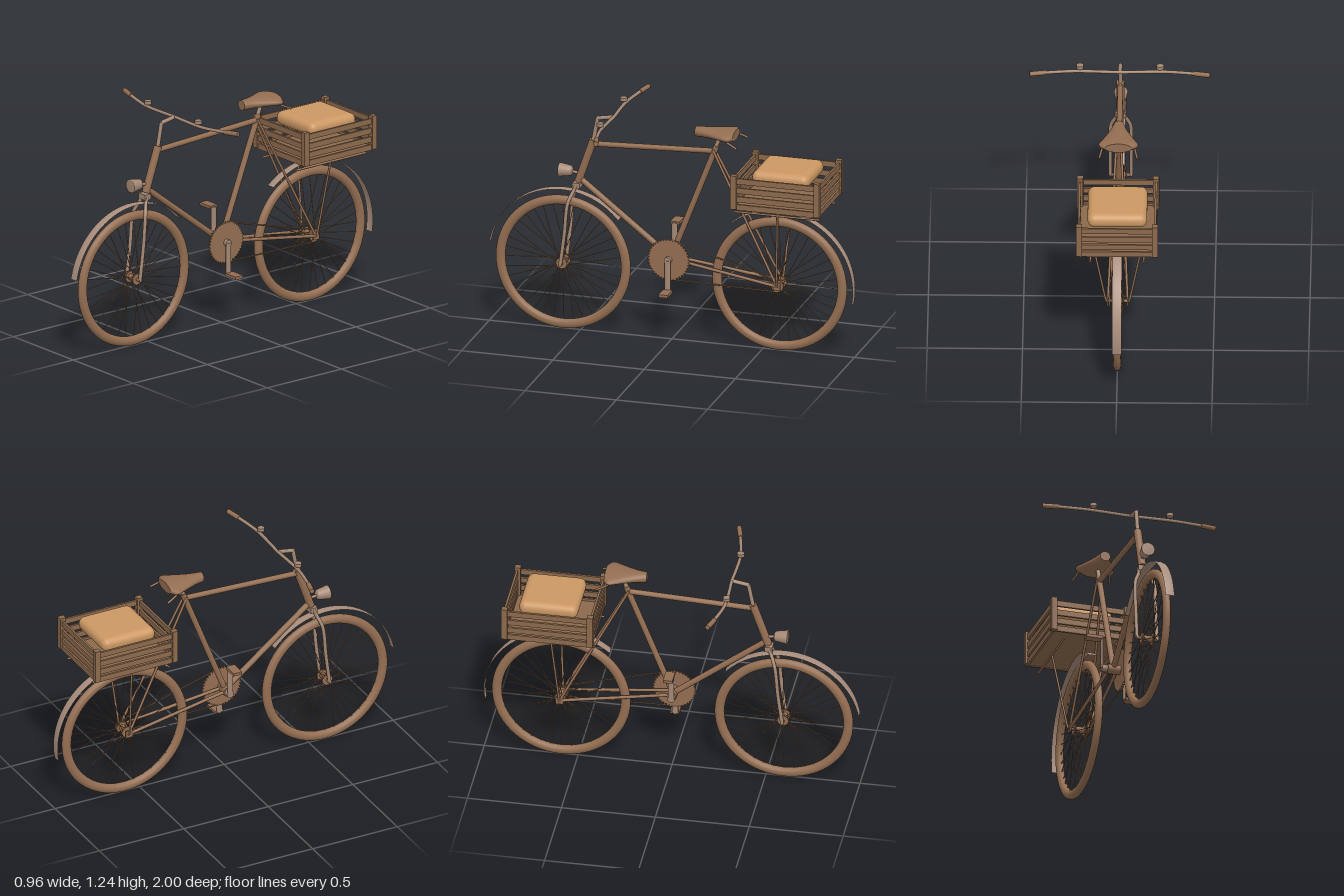
import * as THREE from 'three';
import { RoundedBoxGeometry } from 'three/addons/geometries/RoundedBoxGeometry.js';

const mat = (name, color, side = THREE.FrontSide) => {
  const m = new THREE.MeshStandardMaterial({ color, side });
  m.name = name;
  return m;
};
const V = (x, y, z) => new THREE.Vector3(x, y, z);

export function createModel() {
  const root = new THREE.Group();
  root.name = 'bicycle';
  const brown = mat('brown', 0x946e52);
  const metal = mat('pale metal', 0xa58874);
  const sheet = mat('pale sheet metal', 0xaa8e7d, THREE.DoubleSide);
  const wood = mat('crate wood', 0x8c6a4d);
  const tan = mat('tan cushion', 0xcc9864);

  const add = (name, geo, m, parent = root) => {
    const mesh = new THREE.Mesh(geo, m);
    mesh.name = name;
    parent.add(mesh);
    return mesh;
  };
  // straight round bar between two points
  const rod = (name, a, b, r, m, parent = root, sides = 12) => {
    const d = b.clone().sub(a);
    const mesh = add(name, new THREE.CylinderGeometry(r, r, d.length(), sides), m, parent);
    mesh.position.copy(a).addScaledVector(d, 0.5);
    mesh.quaternion.setFromUnitVectors(V(0, 1, 0), d.normalize());
    return mesh;
  };
  const tube = (name, pts, r, m) =>
    add(name, new THREE.TubeGeometry(new THREE.CatmullRomCurve3(pts, false, 'centripetal'), 32, r, 10), m);
  const box = (name, w, h, d, x, y, z, m, parent = root) => {
    const mesh = add(name, new THREE.BoxGeometry(w, h, d), m, parent);
    mesh.position.set(x, y, z);
    return mesh;
  };

  // Wheels with hub, spokes and mudguard
  const AXLE = 0.37, FRONT = 0.595, REAR = -0.59;
  const wheel = (name, z, from, to) => {
    const g = new THREE.Group();
    g.name = name;
    g.position.set(0, AXLE, z);
    root.add(g);
    add('tyre', new THREE.TorusGeometry(0.343, 0.026, 14, 72).rotateY(Math.PI / 2).scale(0.8, 1, 1), brown, g);
    rod('axle', V(-0.062, 0, 0), V(0.062, 0, 0), 0.009, brown, g);
    rod('hub', V(-0.03, 0, 0), V(0.03, 0, 0), 0.017, brown, g);
    for (const s of [-1, 1]) rod('hubFlange', V(s * 0.026, 0, 0), V(s * 0.032, 0, 0), 0.03, brown, g, 20);
    const n = 36;
    for (let i = 0; i < n; i++) {
      const a = (i / n) * Math.PI * 2, lean = a + (i % 4 < 2 ? 0.5 : -0.5);
      rod('spoke', V((i % 2 ? 1 : -1) * 0.028, Math.sin(lean) * 0.026, Math.cos(lean) * 0.026),
        V(0, Math.sin(a) * 0.32, Math.cos(a) * 0.32), 0.0022, brown, g, 5);
    }
    const profile = [[0.407, -0.025], [0.41, -0.012], [0.41, 0.012], [0.407, 0.025]]
      .map(([r, y]) => new THREE.Vector2(r, y));
    const rad = Math.PI / 180;
    add('mudguard', new THREE.LatheGeometry(profile, 40, -to * rad, (to - from) * rad).rotateZ(-Math.PI / 2), sheet, g);
  };
  wheel('frontWheel', FRONT, 10, 139);
  wheel('rearWheel', REAR, 50, 190);

  // Frame tubes
  const bracket = V(0, 0.455, 0.005), seatTop = V(0, 1.07, -0.235);
  rod('headTube', V(0, 0.825, 0.512), V(0, 1.065, 0.43), 0.021, brown, root, 16);
  rod('topTube', V(0, 1.042, 0.435), seatTop, 0.015, brown);
  rod('downTube', V(0, 0.845, 0.505), bracket, 0.016, brown);
  rod('seatTube', bracket, V(0, 1.1, -0.245), 0.016, brown);
  rod('seatPost', V(0, 1.08, -0.235), V(0, 1.155, -0.265), 0.011, metal);
  rod('bottomBracket', V(-0.035, 0.455, 0.005), V(0.035, 0.455, 0.005), 0.026, brown, root, 18);
  for (const s of [-1, 1]) {
    rod('seatStay', V(s * 0.014, 1.08, -0.228), V(s * 0.052, AXLE, REAR), 0.007, brown);
    rod('chainStay', V(s * 0.022, 0.455, -0.005), V(s * 0.052, AXLE, REAR), 0.009, brown);
    box('rearDropout', 0.008, 0.04, 0.04, s * 0.053, AXLE, REAR, brown);
    // Fork blade
    tube('forkBlade', [V(s * 0.021, 0.81, 0.518), V(s * 0.024, 0.78, 0.53), V(s * 0.05, 0.715, 0.555),
      V(s * 0.055, 0.66, 0.563), V(s * 0.055, 0.55, 0.572), V(s * 0.055, AXLE, FRONT)], 0.01, metal);
  }
  box('forkCrown', 0.056, 0.03, 0.04, 0, 0.806, 0.518, metal);

  // Stem, handlebar, grips and bells
  rod('stemPost', V(0, 1.05, 0.433), V(0, 1.19, 0.406), 0.011, metal);
  rod('stemArm', V(0, 1.186, 0.41), V(0, 1.202, 0.318), 0.011, metal);
  tube('handlebar', [V(-0.42, 1.214, 0.288), V(-0.24, 1.204, 0.322), V(-0.1, 1.202, 0.322), V(0, 1.202, 0.318),
    V(0.1, 1.202, 0.322), V(0.24, 1.204, 0.322), V(0.42, 1.214, 0.288)], 0.009, metal);
  for (const s of [-1, 1]) {
    rod('grip', V(s * 0.39, 1.212, 0.295), V(s * 0.474, 1.217, 0.272), 0.013, brown, root, 14);
    rod('bell', V(s * 0.21, 1.221, 0.328), V(s * 0.21, 1.239, 0.328), 0.019, metal, root, 18);
  }

  // Headlamp
  const lamp = [[0, 0], [0.018, 0.001], [0.027, 0.008], [0.037, 0.068], [0.037, 0.073], [0.033, 0.074], [0, 0.075]]
    .map(([r, y]) => new THREE.Vector2(r, y));
  add('headlamp', new THREE.LatheGeometry(lamp, 24).rotateX(Math.PI / 2), metal).position.set(0, 0.88, 0.543);
  rod('lampBracket', V(0, 0.87, 0.495), V(0, 0.877, 0.55), 0.008, metal);

  // Saddle: elliptical tube widened towards the back
  const saddle = new THREE.CylinderGeometry(1, 1, 0.22, 28, 12).rotateX(Math.PI / 2);
  const p = saddle.attributes.position;
  const stations = [[0, 0.028], [0.25, 0.043], [0.55, 0.073], [0.85, 0.106], [0.93, 0.1], [1, 0.07]];
  for (let i = 0; i < p.count; i++) {
    const t = 0.5 - p.getZ(i) / 0.22;
    const k = Math.max(1, stations.findIndex(([u]) => u >= t - 1e-6));
    const [u0, w0] = stations[k - 1], [u1, w1] = stations[k];
    p.setX(i, p.getX(i) * THREE.MathUtils.lerp(w0, w1, (t - u0) / (u1 - u0)));
    p.setY(i, p.getY(i) * 0.027);
  }
  saddle.computeVertexNormals();
  add('saddle', saddle, brown).position.set(0, 1.171, -0.242);
  for (const s of [-1, 1])
    rod('saddleRod', V(s * 0.085, 1.155, -0.325), V(s * 0.1, 1.128, -0.385), 0.006, brown);

  // Chainring with teeth, sprocket and chain
  const ring = new THREE.Shape();
  const teeth = 40;
  for (let i = 0; i < teeth * 4; i++) {
    const a = (i / (teeth * 4)) * Math.PI * 2, r = i % 4 < 2 ? 0.116 : 0.107;
    ring[i ? 'lineTo' : 'moveTo'](Math.cos(a) * r, Math.sin(a) * r);
  }
  const ringGeo = new THREE.ExtrudeGeometry(ring, { depth: 0.008, bevelEnabled: false }).rotateY(Math.PI / 2);
  add('chainring', ringGeo, brown).position.set(0.037, 0.455, 0.005);
  rod('rearSprocket', V(0.037, AXLE, REAR), V(0.045, AXLE, REAR), 0.034, brown, root, 20);
  rod('upperChain', V(0.041, 0.56, -0.02), V(0.041, 0.4, REAR - 0.005), 0.004, brown, root, 6);
  rod('lowerChain', V(0.041, 0.346, 0), V(0.041, 0.336, REAR), 0.004, brown, root, 6);

  // Cranks and pedals
  rod('crankAxle', V(-0.066, 0.455, 0.005), V(0.066, 0.455, 0.005), 0.019, metal, root, 20);
  for (const s of [-1, 1]) {
    const y = 0.455 - s * 0.168;
    rod('crankArm', V(s * 0.061, 0.455, 0.005), V(s * 0.061, y, 0.005), 0.017, metal).scale.x = 0.5;
    rod('pedalSpindle', V(s * 0.055, y, 0.005), V(s * 0.14, y, 0.005), 0.006, metal);
    box('pedal', 0.088, 0.016, 0.05, s * 0.107, y, 0.003, brown);
  }

  // Rear rack
  for (const s of [-1, 1]) {
    rod('rackRail', V(s * 0.14, 0.796, -0.385), V(s * 0.14, 0.796, -0.855), 0.006, brown);
    rod('rackStrut', V(s * 0.14, 0.8, -0.62), V(s * 0.062, AXLE, REAR), 0.006, brown);
  }

  // Slatted crate
  const crate = new THREE.Group();
  crate.name = 'crate';
  root.add(crate);
  const cz = -0.628;
  box('crateFloor', 0.4, 0.014, 0.46, 0, 0.84, cz, wood, crate);
  for (const s of [-1, 1]) {
    for (const t of [-1, 1]) box('cratePost', 0.032, 0.185, 0.032, s * 0.199, 0.927, cz + t * 0.228, wood, crate);
    for (const y of [0.845, 0.889, 0.937, 0.989]) {
      box('sideSlat', 0.012, 0.031, 0.45, s * 0.2, y, cz, wood, crate);
      box('endSlat', 0.4, 0.031, 0.012, 0, y, cz + s * 0.23, wood, crate);
    }
  }
  add('cushion', new RoundedBoxGeometry(0.312, 0.078, 0.312, 6, 0.036), tan).position.set(0, 0.993, -0.635);

  return root;
}
